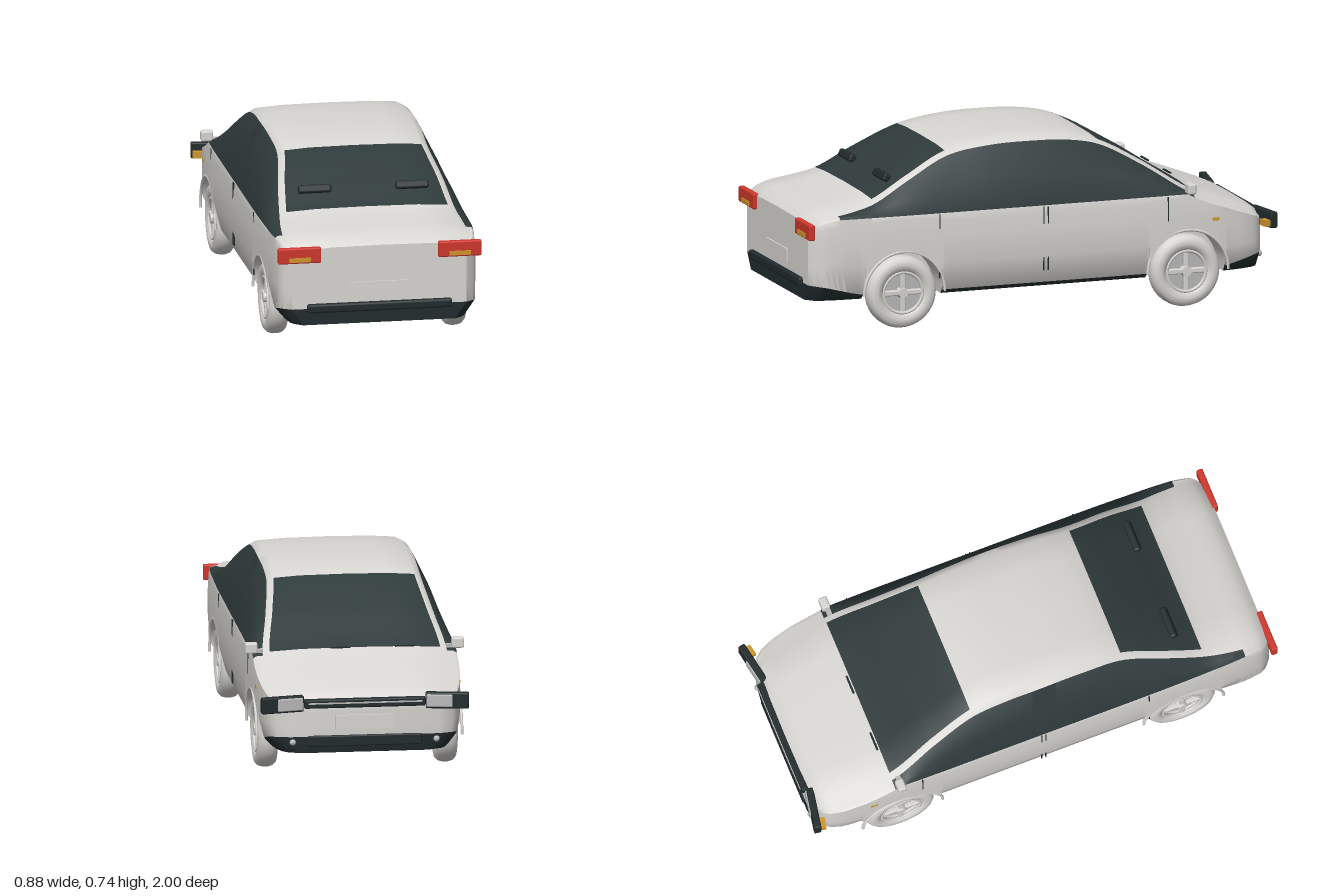
import * as THREE from 'three';
import { toCreasedNormals } from 'three/addons/utils/BufferGeometryUtils.js';
import { RoundedBoxGeometry } from 'three/addons/geometries/RoundedBoxGeometry.js';

const mat = (name, color) => Object.assign(new THREE.MeshStandardMaterial({ color }), { name });
const BASE = 0.13, ARCH = 0.168, WHEEL_Y = 0.147, WHEEL_Z = [0.59, -0.62];

// Body stations: z, half width, roof height, half width at the roof edge
const KEYS = [
  [-0.97, 0.30, 0.345, 0.26], [-0.95, 0.35, 0.368, 0.31], [-0.9, 0.383, 0.39, 0.33],
  [-0.8, 0.405, 0.427, 0.345], [-0.65, 0.416, 0.485, 0.36], [-0.45, 0.42, 0.61, 0.325],
  [-0.28, 0.42, 0.70, 0.3], [-0.15, 0.42, 0.728, 0.298], [0, 0.42, 0.736, 0.3],
  [0.2, 0.42, 0.73, 0.297], [0.37, 0.42, 0.70, 0.295], [0.55, 0.419, 0.615, 0.325],
  [0.7, 0.416, 0.535, 0.345], [0.8, 0.413, 0.51, 0.357], [0.9, 0.404, 0.492, 0.36],
  [0.95, 0.39, 0.475, 0.35], [0.98, 0.355, 0.45, 0.32],
];

// Lower edge of the body side, raised over each wheel
function lowerEdge(z) {
  const d = Math.min(...WHEEL_Z.map((c) => Math.abs(z - c)));
  return d < ARCH ? Math.max(BASE, WHEEL_Y + Math.sqrt(ARCH * ARCH - d * d)) : BASE;
}

// Half cross-section from the floor centre up to the roof centre
function section(z, w, h, ws) {
  const y0 = lowerEdge(z);
  const sill = Math.max(y0, 0.147 + 0.05 * THREE.MathUtils.smoothstep(Math.abs(z), 0.72, 0.98));
  const belt = Math.min(0.465, h - 0.035);
  const side = (y) => w - 0.045 * Math.max(0, (0.2 - y) / 0.07) ** 1.5 - 0.006 * Math.max(0, (y - 0.4) / 0.065);
  const inner = Math.min(0.29, side(y0));
  const up = [0, 0.35, 0.7, 0.9, 1].map((t) => sill + (belt - sill) * t);
  const bx = side(belt), sx = ws + 0.012, sy = h - 0.025;
  return [
    [0, BASE], [inner, BASE], [inner, y0], [side(y0), y0],
    ...up.map((y) => [side(y), y]),
    [(bx + sx) / 2 + 0.007, (belt + sy) / 2 + 0.003], [sx, sy],
    [ws - 0.016, h - 0.009], [ws * 0.6, h - 0.002], [0, h],
  ];
}

function bodyGeometry() {
  const interp = new THREE.CubicInterpolant(
    KEYS.map((k) => k[0]), KEYS.flatMap((k) => k.slice(1)), 3, new Float32Array(3));
  let zs = [-0.65, -0.28, 0.37, 0.7, 0.86];
  for (const c of WHEEL_Z) for (let i = 0; i <= 20; i++) zs.push(c + ARCH * Math.cos((i / 20) * Math.PI));
  for (let i = 0; i <= 78; i++) zs.push(-0.97 + i * 0.025);
  zs = zs.sort((a, b) => a - b).filter((z, i, all) => i === 0 || z - all[i - 1] > 1e-4);
  const rows = zs.map((z) => section(z, ...interp.evaluate(z)));
  const n = rows[0].length, pos = [], lists = [[], [], []];
  rows.forEach((r, i) => [1, -1].forEach((s) => r.forEach(([x, y]) => pos.push(s * x, y, zs[i]))));
  const id = (i, j, m) => (i * 2 + m) * n + j;
  const p = (k) => new THREE.Vector3().fromArray(pos, k * 3);
  const tri = (m, a, b, c) => {
    const area = p(b).sub(p(a)).cross(p(c).sub(p(a))).length();
    if (area > 1e-9) lists[m].push(a, b, c);
  };
  const quad = (m, a, b, c, d) => { tri(m, a, b, c); tri(m, a, c, d); };
  // Material of each strip: 0 paint, 1 glass, 2 dark trim
  const kind = (j, z) => {
    if (j === 0 || j === 3) return 2;
    if (j === 1 || j === 2) return lowerEdge(z) > BASE ? 0 : 2;
    if (j === 8 || j === 9) return z > -0.65 && z < 0.86 ? 1 : 0;
    if (j > 10) return (z > -0.65 && z < -0.28) || (z > 0.37 && z < 0.7) ? 1 : 0;
    return 0;
  };
  for (let i = 0; i < zs.length - 1; i++) for (let j = 0; j < n - 1; j++) {
    const m = kind(j, (zs[i] + zs[i + 1]) / 2);
    quad(m, id(i, j, 0), id(i, j + 1, 0), id(i + 1, j + 1, 0), id(i + 1, j, 0));
    quad(m, id(i, j, 1), id(i + 1, j, 1), id(i + 1, j + 1, 1), id(i, j + 1, 1));
  }
  // Flat nose and tail panels
  const e = zs.length - 1;
  for (let j = 1; j < n - 1; j++) {
    const m = j <= 3 ? 2 : 0;
    quad(m, id(e, j, 1), id(e, j, 0), id(e, j + 1, 0), id(e, j + 1, 1));
    quad(m, id(0, j, 0), id(0, j, 1), id(0, j + 1, 1), id(0, j + 1, 0));
  }
  const g = new THREE.BufferGeometry();
  g.setAttribute('position', new THREE.Float32BufferAttribute(pos, 3));
  g.setIndex(lists.flat());
  let start = 0;
  lists.forEach((l, m) => { g.addGroup(start, l.length, m); start += l.length; });
  return toCreasedNormals(g, 0.6);
}

export function createModel() {
  const paint = mat('paint', 0xd8d6d2), glass = mat('glass', 0x2f3a3b), trim = mat('darkTrim', 0x222b2d);
  const metal = mat('metal', 0xb9bab9), red = mat('redLens', 0xcf372c), amber = mat('amberLens', 0xcf962c);
  const car = new THREE.Group();
  car.name = 'car';
  const add = (name, geo, material, x = 0, y = 0, z = 0, parent = car) => {
    const m = new THREE.Mesh(geo, material);
    m.name = name;
    m.position.set(x, y, z);
    parent.add(m);
    return m;
  };
  const box = (w, h, d) => new THREE.BoxGeometry(w, h, d);
  const soft = (w, h, d, r = 0.008) => new RoundedBoxGeometry(w, h, d, 2, r);

  add('body', bodyGeometry(), [paint, glass, trim]);

  // Wheels
  const tyreGeo = new THREE.LatheGeometry([
    [0.085, -0.038], [0.11, -0.043], [0.13, -0.04], [0.142, -0.028], [0.147, -0.01], [0.147, 0.01],
    [0.142, 0.028], [0.13, 0.04], [0.11, 0.043], [0.088, 0.036], [0.085, 0.015],
  ].map(([x, y]) => new THREE.Vector2(x, y)), 40);
  tyreGeo.rotateZ(-Math.PI / 2);
  const discGeo = new THREE.CylinderGeometry(0.087, 0.087, 0.05, 32).rotateZ(Math.PI / 2);
  const hubGeo = new THREE.CylinderGeometry(0.02, 0.024, 0.03, 20).rotateZ(-Math.PI / 2);
  const rimGeo = new THREE.TorusGeometry(0.083, 0.007, 8, 36).rotateY(Math.PI / 2);
  const lipGeo = new THREE.TorusGeometry(ARCH + 0.004, 0.006, 8, 32, Math.PI).rotateY(Math.PI / 2);
  for (const s of [1, -1]) for (const z of WHEEL_Z) {
    const wheel = new THREE.Group();
    wheel.name = (s > 0 ? 'left' : 'right') + (z > 0 ? 'Rear' : 'Front') + 'Wheel';
    wheel.position.set(s * 0.363, WHEEL_Y, z);
    wheel.rotation.y = s > 0 ? 0 : Math.PI;
    add('tyre', tyreGeo, paint, 0, 0, 0, wheel);
    add('rimDisc', discGeo, metal, -0.01, 0, 0, wheel);
    add('rimRing', rimGeo, paint, 0.032, 0, 0, wheel);
    add('hub', hubGeo, paint, 0.027, 0, 0, wheel);
    for (let k = 0; k < 4; k++) {
      const a = (k * Math.PI) / 2;
      const spoke = add('spoke', soft(0.02, 0.066, 0.022, 0.005), paint, 0.025, 0.048 * Math.cos(a), 0.048 * Math.sin(a), wheel);
      spoke.rotation.x = a;
    }
    car.add(wheel);
    add('wheelArchLip', lipGeo, paint, s * 0.414, WHEEL_Y, z);
  }

  for (const s of [1, -1]) {
    // Door seams and side markers
    for (const [z, lo, hi] of [[0.44, 0.2, 0.46], [-0.004, 0.15, 0.46], [-0.022, 0.15, 0.46], [-0.535, 0.3, 0.46]])
      add('doorSeam', box(0.006, hi - Math.max(lo, 0.2), 0.004), trim, s * 0.416, (hi + Math.max(lo, 0.2)) / 2, z);
    add('sideMarker', box(0.008, 0.012, 0.03), amber, s * 0.409, 0.355, -0.74);
    // Mirrors
    add('mirror', soft(0.05, 0.044, 0.035), paint, s * 0.417, 0.489, -0.63);
    add('mirrorArm', box(0.04, 0.015, 0.02), metal, s * 0.39, 0.475, -0.625);
    // Tail lamps
    add('tailLamp', soft(0.175, 0.064, 0.026, 0.006), red, s * 0.326, 0.422, 0.983);
    add('rearIndicator', box(0.088, 0.018, 0.006), amber, s * 0.326, 0.406, 0.997);
    // Pads on the rear window
    const pad = add('rearWindowPad', soft(0.135, 0.034, 0.03, 0.01), trim, s * 0.198, 0.592, 0.61);
    pad.rotation.x = -0.4;
    // Headlamps, toed forward at the outer end
    const lamp = new THREE.Group();
    lamp.name = s > 0 ? 'leftHeadlamp' : 'rightHeadlamp';
    lamp.position.set(s * 0.333, 0.333, -0.972);
    lamp.rotation.y = s * 0.18;
    add('housing', soft(0.175, 0.066, 0.03, 0.006), trim, 0, 0, 0, lamp);
    add('lens', soft(0.105, 0.052, 0.016, 0.005), metal, -s * 0.03, 0, -0.012, lamp);
    add('frontIndicator', box(0.045, 0.026, 0.03), amber, s * 0.058, -0.012, 0.022, lamp);
    car.add(lamp);
    add('fogLamp', new THREE.SphereGeometry(0.013, 14, 10), metal, s * 0.29, 0.175, -0.968);
    // Wipers
    add('wiper', box(0.08, 0.005, 0.008), trim, s * 0.13 - 0.07, 0.487, -0.66);
  }

  // Tail bumper and plates
  add('rearBumper', soft(0.59, 0.037, 0.03, 0.01), trim, 0, 0.199, 0.983);
  add('rearPlate', box(0.245, 0.056, 0.012), paint, 0, 0.273, 0.98);
  add('frontPlate', box(0.24, 0.056, 0.012), paint, 0, 0.255, -0.972);
  // Nose trim
  add('grille', soft(0.49, 0.036, 0.03, 0.006), trim, 0, 0.333, -0.973);
  add('grilleBar', box(0.46, 0.006, 0.006), metal, 0, 0.336, -0.988);
  add('lowerIntake', soft(0.46, 0.045, 0.02, 0.006), trim, 0, 0.178, -0.968);
  // Floor pan
  add('floorPan', box(0.58, 0.012, 1.72), trim, 0, 0.13, 0);
  return car;
}
